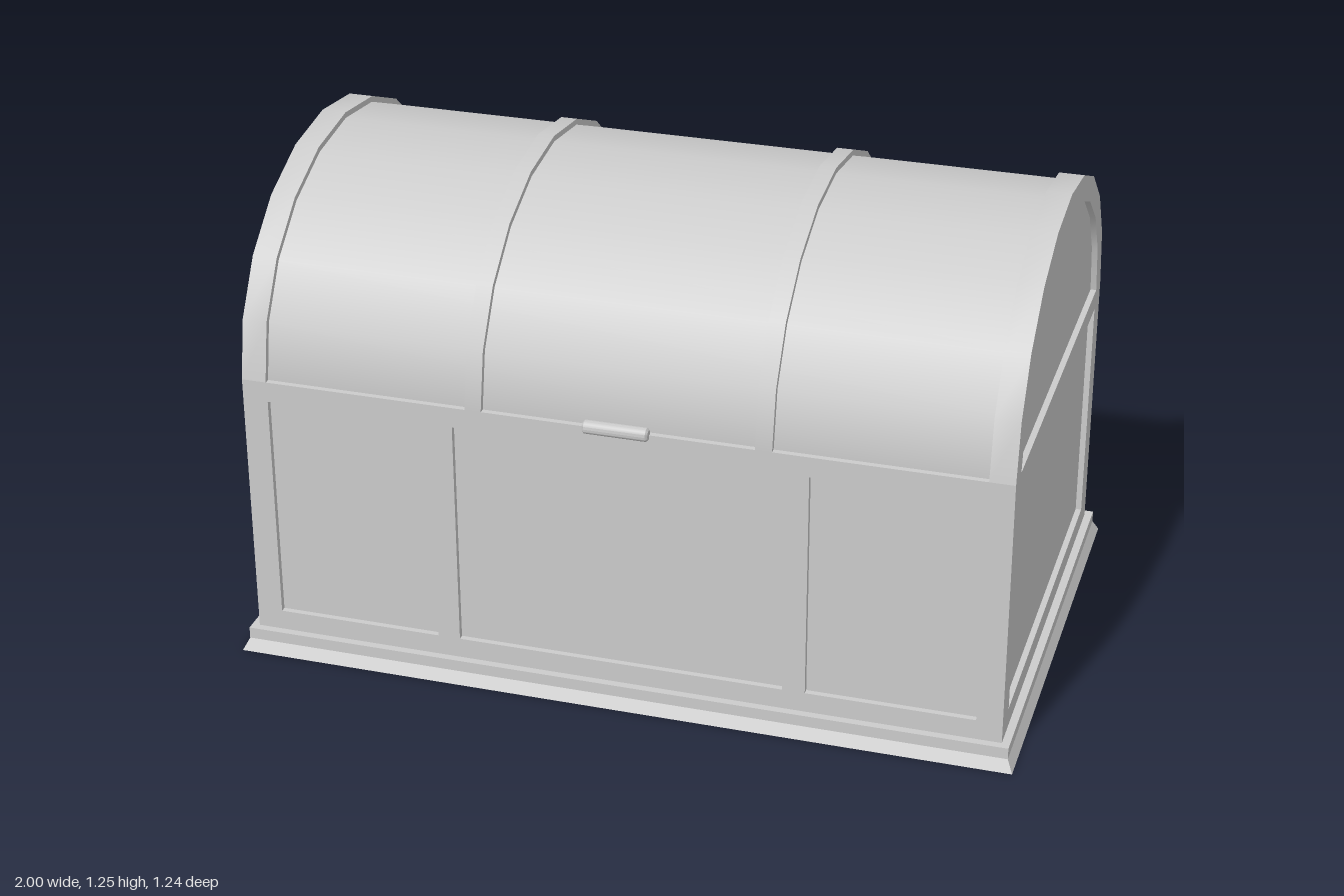
import * as THREE from 'three';
import { toCreasedNormals } from 'three/addons/utils/BufferGeometryUtils.js';

const W = 0.965, D = 0.585;          // half width and half depth of the body
const Y0 = 0.06, SEAM = 0.765;       // bottom of the body and the lid seam
const LID_H = 0.487, INSET = 0.015;  // lid rise and depth of the recessed panels
const SEGMENTS = 10;

const material = new THREE.MeshStandardMaterial({ color: 0xcccccc });

export function createModel() {
  const group = new THREE.Group();
  const add = (name, geometry, x = 0, y = 0, z = 0, rotY = 0) => {
    const mesh = new THREE.Mesh(geometry, material);
    mesh.name = name;
    mesh.position.set(x, y, z);
    mesh.rotation.y = rotY;
    group.add(mesh);
    return mesh;
  };

  // Plinth: a straight band above a flared foot
  const plinth = new THREE.BoxGeometry(1.97, 0.06, 1.21, 1, 2, 1);
  const p = plinth.attributes.position;
  for (let i = 0; i < p.count; i++) {
    if (p.getY(i) < -0.02) {
      p.setX(i, Math.sign(p.getX(i)) * 1.0);
      p.setZ(i, Math.sign(p.getZ(i)) * 0.622);
    }
  }
  add('plinth', toCreasedNormals(plinth, 0.2), 0, 0.03, 0);

  // Body core, whose faces are the recessed panels
  const bodyH = SEAM - Y0;
  add('bodyCore', new THREE.BoxGeometry(2 * (W - INSET), bodyH, 2 * (D - INSET)), 0, Y0 + bodyH / 2, 0);

  // Raised frames around the panels
  const rect = (path, x0, x1, y0, y1) =>
    path.moveTo(x0, y0).lineTo(x1, y0).lineTo(x1, y1).lineTo(x0, y1).closePath();
  const frame = (half, openings, top) => {
    const shape = new THREE.Shape();
    rect(shape, -half, half, Y0, SEAM);
    for (const [a, b] of openings) {
      const hole = new THREE.Path();
      rect(hole, a, b, 0.113, top);
      shape.holes.push(hole);
    }
    return new THREE.ExtrudeGeometry(shape, { depth: INSET, bevelEnabled: false });
  };
  const longFrame = frame(W, [[-0.9, -0.475], [-0.418, 0.418], [0.475, 0.9]], 0.712);
  const endFrame = frame(D - INSET, [[-0.512, 0.512]], 0.714);
  add('frontFrame', longFrame, 0, 0, D - INSET);
  add('backFrame', longFrame, 0, 0, -(D - INSET), Math.PI);
  add('leftFrame', endFrame, W - INSET, 0, 0, Math.PI / 2);
  add('rightFrame', endFrame, -(W - INSET), 0, 0, -Math.PI / 2);

  // Barrel lid: half cylinders lying along x
  const barrel = (length, rz, ry) =>
    new THREE.CylinderGeometry(1, 1, length, SEGMENTS, 1, false, 0, Math.PI)
      .rotateZ(Math.PI / 2).scale(1, ry, rz);
  add('lid', barrel(2 * (W - INSET), D - INSET, LID_H - INSET), 0, SEAM, 0);
  for (const x of [-0.363, 0.363]) add('lidRib', barrel(0.042, D, LID_H), x, SEAM, 0);

  // Arched end bands, open in the middle to leave the end panels recessed
  const arc = (rx, ry) => Array.from({ length: SEGMENTS + 1 }, (_, i) => {
    const a = (i / SEGMENTS) * Math.PI;
    return new THREE.Vector2(rx * Math.cos(a), ry * Math.sin(a));
  });
  const arch = new THREE.Shape([...arc(D, LID_H), ...arc(0.52, 0.422).reverse()]);
  const archGeometry = toCreasedNormals(
    new THREE.ExtrudeGeometry(arch, { depth: 0.063, bevelEnabled: false }), 0.6);
  add('leftEndBand', archGeometry, W - 0.063, SEAM, 0, Math.PI / 2);
  add('rightEndBand', archGeometry, -(W - 0.063), SEAM, 0, -Math.PI / 2);

  // Clasp and hinges: small barrels with chamfered ends
  const pin = toCreasedNormals(new THREE.LatheGeometry(
    [[0, -0.082], [0.012, -0.082], [0.017, -0.077], [0.017, 0.077], [0.012, 0.082], [0, 0.082]]
      .map(([r, y]) => new THREE.Vector2(r, y)), 16), 0.6).rotateZ(Math.PI / 2);
  add('clasp', pin, 0, 0.767, 0.588);
  for (const x of [-0.47, 0.47]) add('hinge', pin, x, 0.767, -0.588);

  return group;
}
